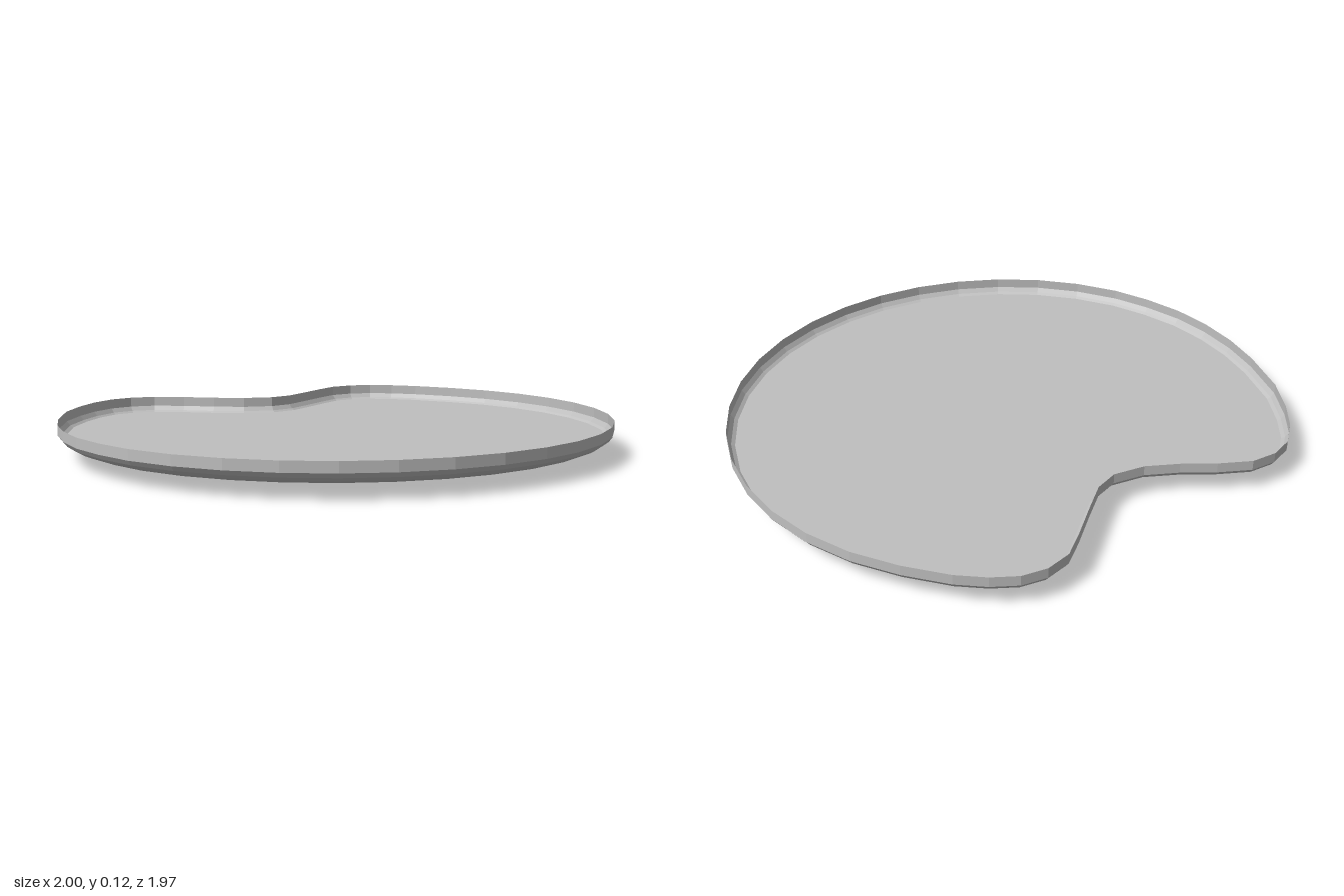
import * as THREE from 'three';

// Notched back edge, from the right side round to the left side (x, z)
const backEdge = [
  [1, 0], [0.985, -0.17], [0.95, -0.33], [0.91, -0.43], [0.86, -0.51], [0.79, -0.565],
  [0.70, -0.59], [0.60, -0.575], [0.45, -0.545], [0.34, -0.525], [0.25, -0.54],
  [0.16, -0.61], [0.09, -0.71], [0.03, -0.82], [-0.04, -0.92], [-0.12, -0.97],
  [-0.21, -0.985], [-0.32, -0.96], [-0.43, -0.91], [-0.56, -0.83], [-0.71, -0.69],
  [-0.81, -0.57], [-0.89, -0.44], [-0.95, -0.30], [-0.985, -0.15],
];

// Full outline: half round front, then the notched back
function makeOutline() {
  const points = [];
  const steps = 18;
  for (let i = 0; i < steps; i++) {
    const a = Math.PI * (1 + i / steps);
    points.push(new THREE.Vector2(Math.cos(a), -0.98 * Math.sin(a)));
  }
  for (const [x, z] of backEdge) points.push(new THREE.Vector2(x, z));
  return points;
}

// Moves the outline inwards by a distance, then scales it towards the centre
function insetOutline(outline, distance, scale = 1) {
  const n = outline.length;
  return outline.map((p, i) => {
    const t = outline[(i + 1) % n].clone().sub(outline[(i + n - 1) % n]).normalize();
    return new THREE.Vector2(p.x + t.y * distance, p.y - t.x * distance).multiplyScalar(scale);
  });
}

// Rings from the rim down to the middle of the underside: [inset, scale, y]
const shellProfile = [
  [0, 1, 0.12], [0, 1, 0.084], [0.012, 1, 0.068], [0.03, 1, 0.056], [0.055, 1, 0.046],
  [0.055, 0.93, 0.035], [0.055, 0.8, 0.022], [0.055, 0.5, 0.009], [0.055, 0, 0],
];

function makeShell(outline) {
  const rings = shellProfile.map(([d, s, y]) =>
    insetOutline(outline, d, s).map((p) => [p.x, y, p.y]));
  const n = outline.length;
  const positions = [];
  for (let r = 0; r < rings.length - 1; r++) {
    for (let i = 0; i < n; i++) {
      const j = (i + 1) % n;
      const a = rings[r][i], b = rings[r][j], c = rings[r + 1][i], d = rings[r + 1][j];
      positions.push(...a, ...c, ...b);
      if (r < rings.length - 2) positions.push(...b, ...c, ...d);
    }
  }
  const geometry = new THREE.BufferGeometry();
  geometry.setAttribute('position', new THREE.Float32BufferAttribute(positions, 3));
  geometry.computeVertexNormals();
  return geometry;
}

// Flat floor inside the rim
function makeFloor(outline) {
  const points = insetOutline(outline, 0.025).map((p) => new THREE.Vector2(p.x, -p.y));
  const geometry = new THREE.ShapeGeometry(new THREE.Shape(points));
  geometry.rotateX(-Math.PI / 2);
  geometry.translate(0, 0.062, 0);
  return geometry;
}

export function createModel() {
  const grey = new THREE.MeshStandardMaterial({ color: 0xc0c0c0 });
  grey.name = 'grey';
  grey.flatShading = true;
  grey.side = THREE.DoubleSide;

  const group = new THREE.Group();
  group.name = 'notchedDish';
  const outline = makeOutline();

  const shell = new THREE.Mesh(makeShell(outline), grey);
  shell.name = 'shell';
  const floor = new THREE.Mesh(makeFloor(outline), grey);
  floor.name = 'floor';
  group.add(shell, floor);
  return group;
}
